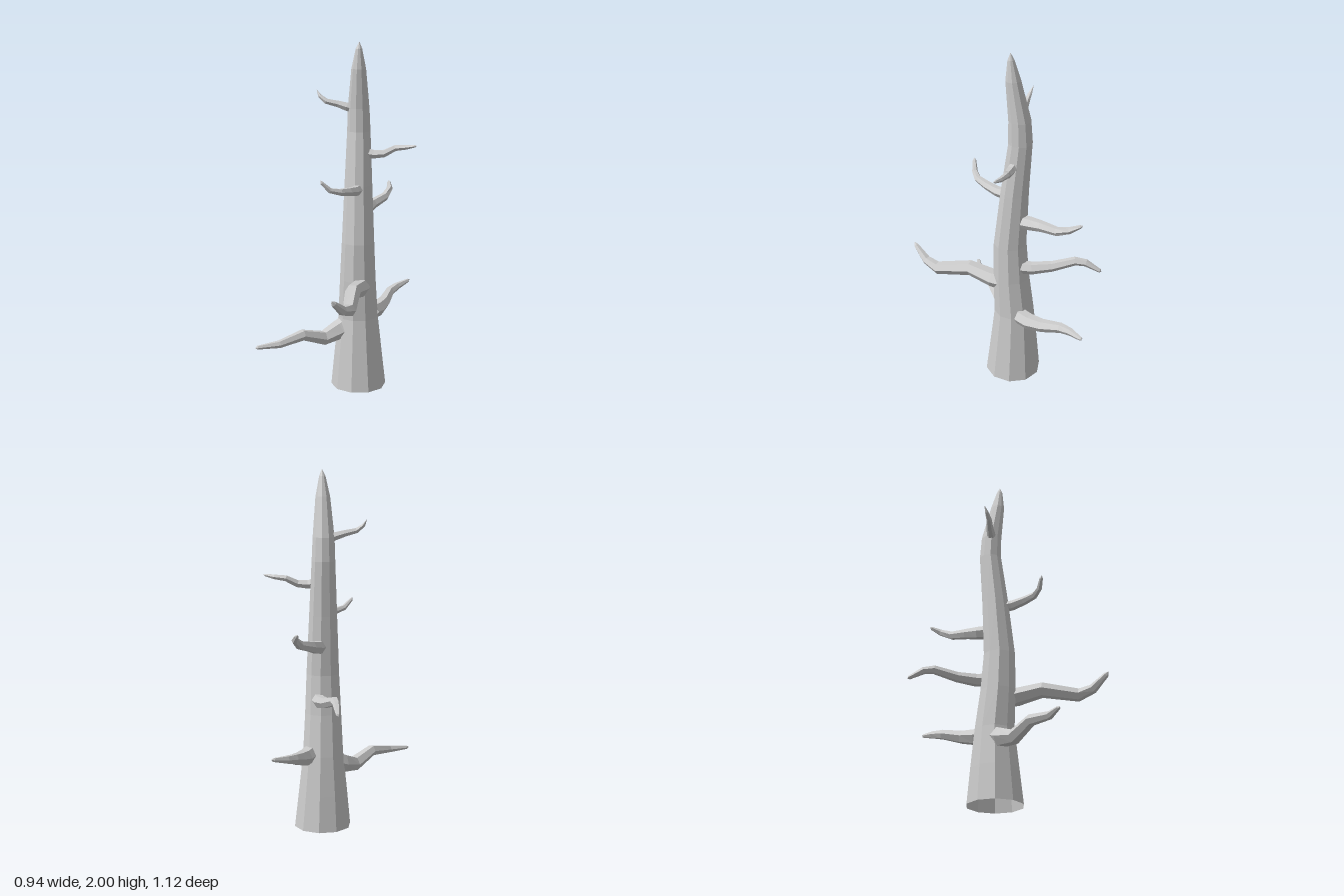
import * as THREE from 'three';

const material = new THREE.MeshStandardMaterial({
  color: 0xcccccc, flatShading: true, side: THREE.DoubleSide,
});

// Lofts rings of the given number of sides along sections [x, y, z, radius].
function loft(name, sections, sides, ref, fixedAxis) {
  const centres = sections.map(([x, y, z]) => new THREE.Vector3(x, y, z));
  const last = sections.length - 1;
  const positions = [], index = [];
  sections.forEach(([, , , r], i) => {
    const t = fixedAxis ? fixedAxis.clone()
      : centres[Math.min(i + 1, last)].clone().sub(centres[Math.max(i - 1, 0)]).normalize();
    const u = t.clone().cross(ref).normalize();
    const v = t.clone().cross(u);
    for (let j = 0; j < sides; j++) {
      const a = (j / sides) * Math.PI * 2;
      const p = centres[i].clone()
        .addScaledVector(u, r * Math.cos(a)).addScaledVector(v, r * Math.sin(a));
      positions.push(p.x, p.y, p.z);
      if (i < last) {
        const k = i * sides + j, n = i * sides + ((j + 1) % sides);
        index.push(k, n, n + sides, k, n + sides, k + sides);
      }
    }
  });
  const geometry = new THREE.BufferGeometry();
  geometry.setAttribute('position', new THREE.Float32BufferAttribute(positions, 3));
  geometry.setIndex(index);
  geometry.computeVertexNormals();
  const mesh = new THREE.Mesh(geometry, material);
  mesh.name = name;
  return mesh;
}

// Trunk: gently swaying, open at the bottom, pointed at the top
const trunk = [
  [0.12, 0, -0.06, 0.16], [0.118, 0.2, -0.063, 0.139], [0.117, 0.42, -0.065, 0.115],
  [0.113, 0.65, -0.047, 0.103], [0.113, 0.87, -0.04, 0.093], [0.115, 1.2, -0.065, 0.079],
  [0.118, 1.5, -0.095, 0.066], [0.116, 1.63, -0.09, 0.061], [0.113, 1.85, -0.054, 0.041],
  [0.113, 1.96, -0.042, 0.018], [0.115, 2, -0.04, 0],
];

// Branches: each starts inside the trunk and tapers to a bent tip
const branches = {
  lowerLeftBranch: [
    [0.06, 0.37, -0.055, 0.06], [0.0, 0.345, -0.025, 0.056], [-0.09, 0.32, 0.04, 0.042],
    [-0.21, 0.37, 0.125, 0.032], [-0.34, 0.35, 0.215, 0.022], [-0.46, 0.345, 0.25, 0.011],
    [-0.475, 0.343, 0.255, 0],
  ],
  frontBranch: [
    [0.13, 0.62, 0, 0.055], [0.118, 0.622, 0.06, 0.052], [0.07, 0.645, 0.2, 0.044],
    [0.04, 0.605, 0.4, 0.037], [0.0, 0.627, 0.475, 0.027], [-0.05, 0.69, 0.545, 0.015],
    [-0.06, 0.707, 0.558, 0],
  ],
  lowerBackBranch: [
    [0.2, 0.43, -0.11, 0.048], [0.24, 0.425, -0.17, 0.047], [0.285, 0.44, -0.25, 0.038],
    [0.33, 0.47, -0.36, 0.029], [0.38, 0.485, -0.42, 0.022], [0.455, 0.503, -0.48, 0.011],
    [0.467, 0.507, -0.487, 0],
  ],
  backBranch: [
    [0.15, 0.735, -0.1, 0.038], [0.152, 0.735, -0.17, 0.037], [0.142, 0.75, -0.28, 0.03],
    [0.12, 0.785, -0.41, 0.025], [0.122, 0.78, -0.47, 0.021], [0.13, 0.74, -0.55, 0.011],
    [0.131, 0.733, -0.56, 0],
  ],
  upperBackBranch: [
    [0.14, 1.03, -0.1, 0.04], [0.165, 1.035, -0.16, 0.038], [0.21, 1.05, -0.23, 0.031],
    [0.29, 1.075, -0.32, 0.025], [0.325, 1.11, -0.39, 0.019], [0.325, 1.138, -0.445, 0.01],
    [0.324, 1.144, -0.458, 0],
  ],
  upperFrontBranch: [
    [0.11, 1.18, -0.01, 0.032], [0.09, 1.18, 0.035, 0.029], [0.05, 1.19, 0.1, 0.025],
    [0.0, 1.2, 0.16, 0.02], [-0.055, 1.215, 0.185, 0.016], [-0.1, 1.26, 0.195, 0.01],
    [-0.107, 1.275, 0.197, 0],
  ],
  upperRightBranch: [
    [0.16, 1.38, -0.065, 0.028], [0.2, 1.373, -0.055, 0.026], [0.255, 1.377, -0.045, 0.022],
    [0.32, 1.408, -0.05, 0.018], [0.38, 1.415, -0.03, 0.014], [0.425, 1.424, -0.008, 0.008],
    [0.438, 1.427, -0.002, 0],
  ],
  topLeftBranch: [
    [0.09, 1.625, -0.09, 0.027], [0.05, 1.637, -0.093, 0.025], [0.0, 1.652, -0.1, 0.02],
    [-0.065, 1.667, -0.105, 0.016], [-0.1, 1.695, -0.118, 0.011], [-0.118, 1.73, -0.132, 0],
  ],
};

export function createModel() {
  const group = new THREE.Group();
  group.name = 'deadTree';
  const up = new THREE.Vector3(0, 1, 0);
  group.add(loft('trunk', trunk, 10, new THREE.Vector3(0, 0, 1), up));
  for (const [name, sections] of Object.entries(branches)) {
    group.add(loft(name, sections, 6, up));
  }
  return group;
}
